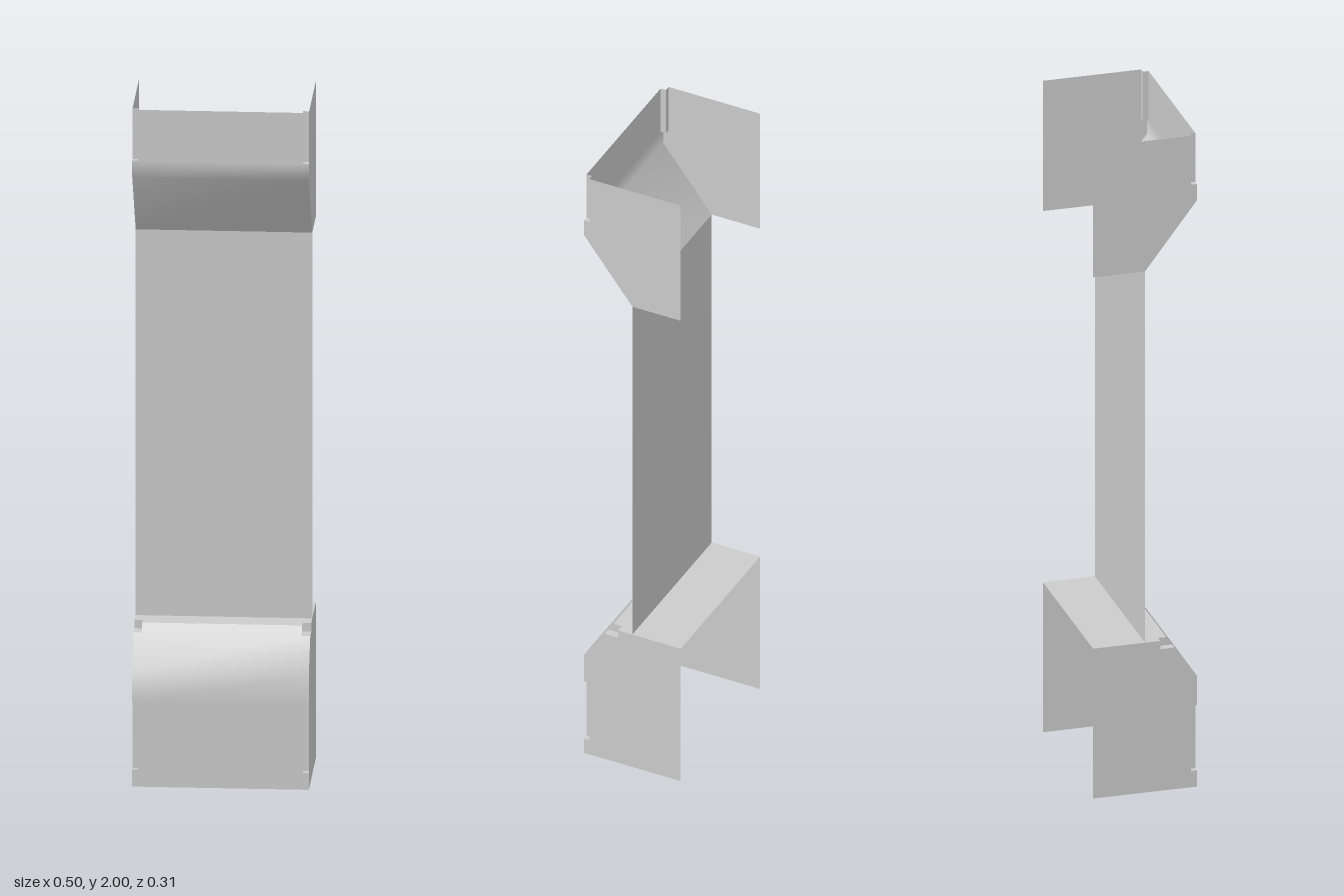
import * as THREE from 'three';

const W = 0.25, D = 0.153;         // half width and half depth
const NX = 0.233, NZ = 0.136;      // inner corner of the vertical notches
const TX = 0.227, TY = 0.435, TZ = 0.045, SZ = 0.0875; // notch on the top edge
const material = new THREE.MeshStandardMaterial({ color: 0xcccccc, side: THREE.DoubleSide });

function addMesh(group, geometry, name) {
  const mesh = new THREE.Mesh(geometry, material);
  mesh.name = name;
  group.add(mesh);
}

// Sheet lofted through pairs of points; shared rows keep bends smooth
function sheet(pairs) {
  const index = [];
  for (let i = 0; i < pairs.length - 1; i++) {
    const a = i * 2;
    index.push(a, a + 1, a + 3, a, a + 3, a + 2);
  }
  const g = new THREE.BufferGeometry();
  g.setAttribute('position', new THREE.Float32BufferAttribute(pairs.flat(2), 3));
  g.setIndex(index);
  g.computeVertexNormals();
  return g;
}

// Full-width sheet from rows of [y, z, half width]
const strip = (rows) => sheet(rows.map(([y, z, w = W]) => [[-w, y, z], [w, y, z]]));

// Flat side wall from a [z, y] outline; s = +1 left, -1 right
function sideWall(outline, s) {
  const shape = new THREE.Shape(outline.map(([z, y]) => new THREE.Vector2(-s * z, y)));
  return new THREE.ShapeGeometry(shape).rotateY(s * Math.PI / 2).translate(s * W, 0, 0);
}

// Quad with its winding flipped on the mirrored side
function quad(a, b, c, d, s) {
  const p = [a, b, c, d].map(([x, y, z]) => [s * x, y, z]);
  return s > 0 ? sheet([[p[0], p[1]], [p[3], p[2]]]) : sheet([[p[1], p[0]], [p[2], p[3]]]);
}

// Recessed walls of a vertical corner notch
function cornerNotch(group, y0, y1, s, openTop) {
  addMesh(group, quad([NX, y0, NZ], [W, y0, NZ], [W, y1, NZ], [NX, y1, NZ], s), 'notchBack');
  addMesh(group, quad([NX, y0, D], [NX, y0, NZ], [NX, y1, NZ], [NX, y1, D], s), 'notchSide');
  addMesh(group, quad([NX, y0, D], [W, y0, D], [W, y0, NZ], [NX, y0, NZ], s), 'notchFloor');
  if (!openTop)
    addMesh(group, quad([NX, y1, NZ], [W, y1, NZ], [W, y1, D], [NX, y1, D], s), 'notchCeiling');
}

export function createModel() {
  const model = new THREE.Group();
  const lower = new THREE.Group(), upper = new THREE.Group();
  lower.name = 'lowerHousing';
  upper.name = 'upperHousing';
  model.add(lower, upper);

  // Lower housing: front bending into a slope, flat top, open back and bottom
  addMesh(lower, strip([
    [0, D], [0.05, D], [0.05, D, NX], [0.25, D, NX], [0.25, D], [0.34, D],
    [TY, SZ], [TY, SZ, TX], [0.46, 0.07, TX],
  ]), 'lowerFront');
  addMesh(lower, strip([
    [0.46, 0.07, TX], [0.46, TZ, TX], [0.46, TZ], [0.46, -D],
  ]), 'lowerTop');

  // Upper housing: slope bending into the front, open back and top
  addMesh(upper, strip([
    [1.6, 0], [1.8, D], [1.85, D], [1.85, D, NX], [2, D, NX],
  ]), 'upperFront');

  for (const s of [-1, 1]) {
    addMesh(lower, sideWall([
      [-D, 0], [D, 0], [D, 0.05], [NZ, 0.05], [NZ, 0.25], [D, 0.25], [D, 0.34],
      [SZ, TY], [TZ, TY], [TZ, 0.46], [-D, 0.46],
    ], s), 'lowerSide');
    cornerNotch(lower, 0.05, 0.25, s, false);

    // Small notch where the slope meets the top
    addMesh(lower, quad([TX, TY, SZ], [W, TY, SZ], [W, TY, TZ], [TX, TY, TZ], s), 'topNotchFloor');
    addMesh(lower, quad([TX, TY, TZ], [W, TY, TZ], [W, 0.46, TZ], [TX, 0.46, TZ], s), 'topNotchBack');
    addMesh(lower, quad([TX, TY, SZ], [TX, TY, TZ], [TX, 0.46, TZ], [TX, 0.46, 0.07], s), 'topNotchSide');

    addMesh(upper, sideWall([
      [-D, 1.6], [0, 1.6], [D, 1.8], [D, 1.85], [NZ, 1.85], [NZ, 2], [-D, 2],
    ], s), 'upperSide');
    cornerNotch(upper, 1.85, 2, s, true);
  }

  // Thin panel joining the two housings
  addMesh(model, strip([[0.46, 0], [1.6, 0]]), 'middlePanel');
  return model;
}
